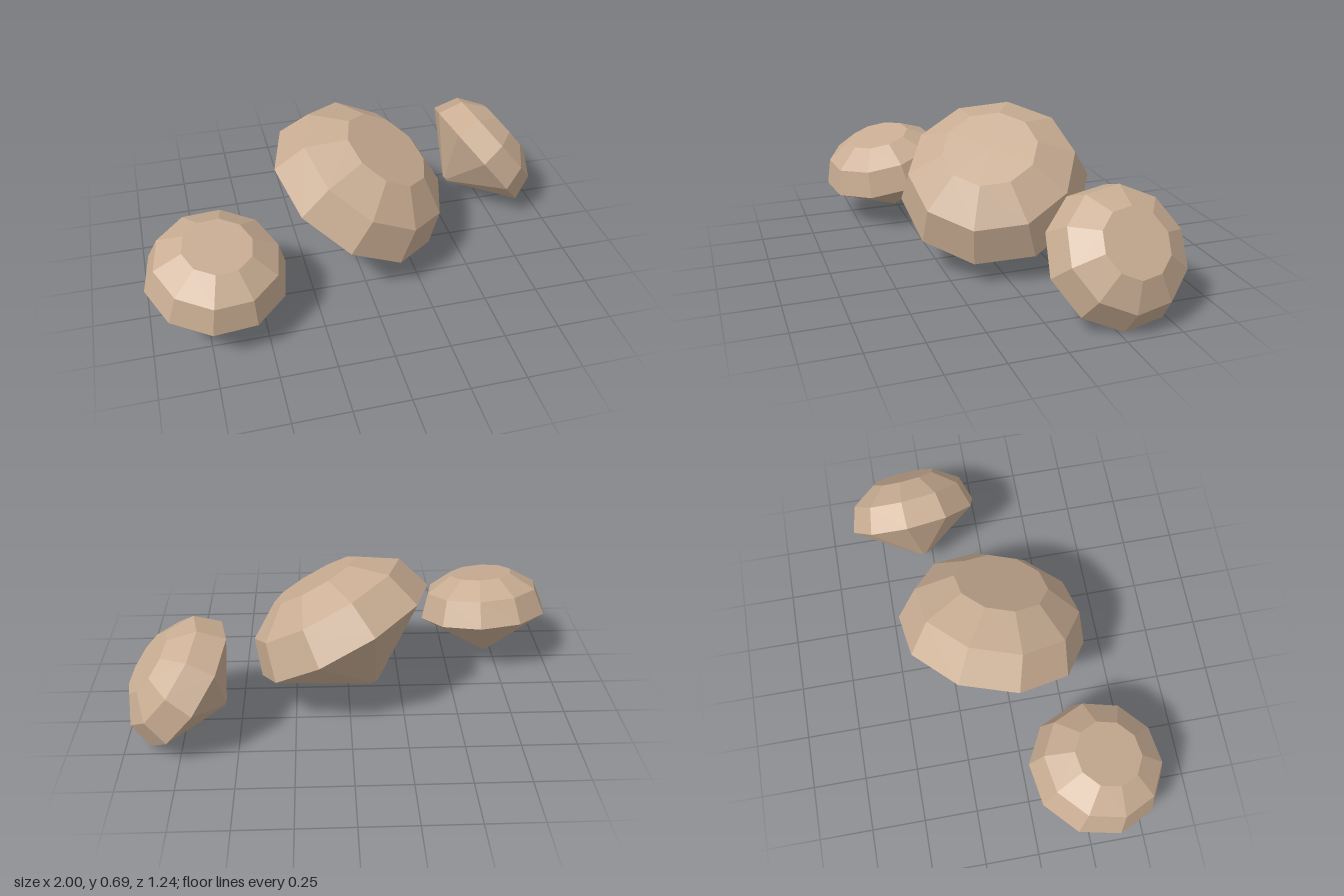
import * as THREE from 'three';

// Half profile of a ten-sided cut stone with girdle radius 1, from tip to table
const PROFILE = [
  [0, -0.64],
  [0.065, -0.64],
  [1, 0],
  [0.87, 0.39],
  [0.49, 0.63],
  [0, 0.63],
].map(([r, y]) => new THREE.Vector2(r, y));

// Girdle centre, girdle radius, direction the flat top faces, spin in degrees
const STONES = [
  { name: 'rightStone', center: [-0.69, 0.239, 0.318], radius: 0.315, axis: [0.075, 0.976, 0.21], spin: 26 },
  { name: 'middleStone', center: [0.02, 0.342, -0.038], radius: 0.44, axis: [0.477, 0.844, 0.245], spin: 22 },
  { name: 'leftStone', center: [0.73, 0.247, -0.313], radius: 0.315, axis: [0.784, 0.614, -0.09], spin: 13.5 },
];

export function createModel() {
  const model = new THREE.Group();
  model.name = 'stones';

  const sandstone = new THREE.MeshStandardMaterial({ color: 0xc9ad93, flatShading: true });
  sandstone.name = 'sandstone';

  // Faceted stone shape shared by all three
  const geometry = new THREE.LatheGeometry(PROFILE, 10).toNonIndexed();
  geometry.computeVertexNormals();

  const up = new THREE.Vector3(0, 1, 0);
  for (const { name, center, radius, axis, spin } of STONES) {
    const stone = new THREE.Mesh(geometry, sandstone);
    stone.name = name;
    stone.position.set(...center);
    stone.scale.setScalar(radius);
    stone.quaternion.setFromUnitVectors(up, new THREE.Vector3(...axis).normalize());
    stone.rotateY(THREE.MathUtils.degToRad(spin));
    model.add(stone);
  }
  return model;
}
